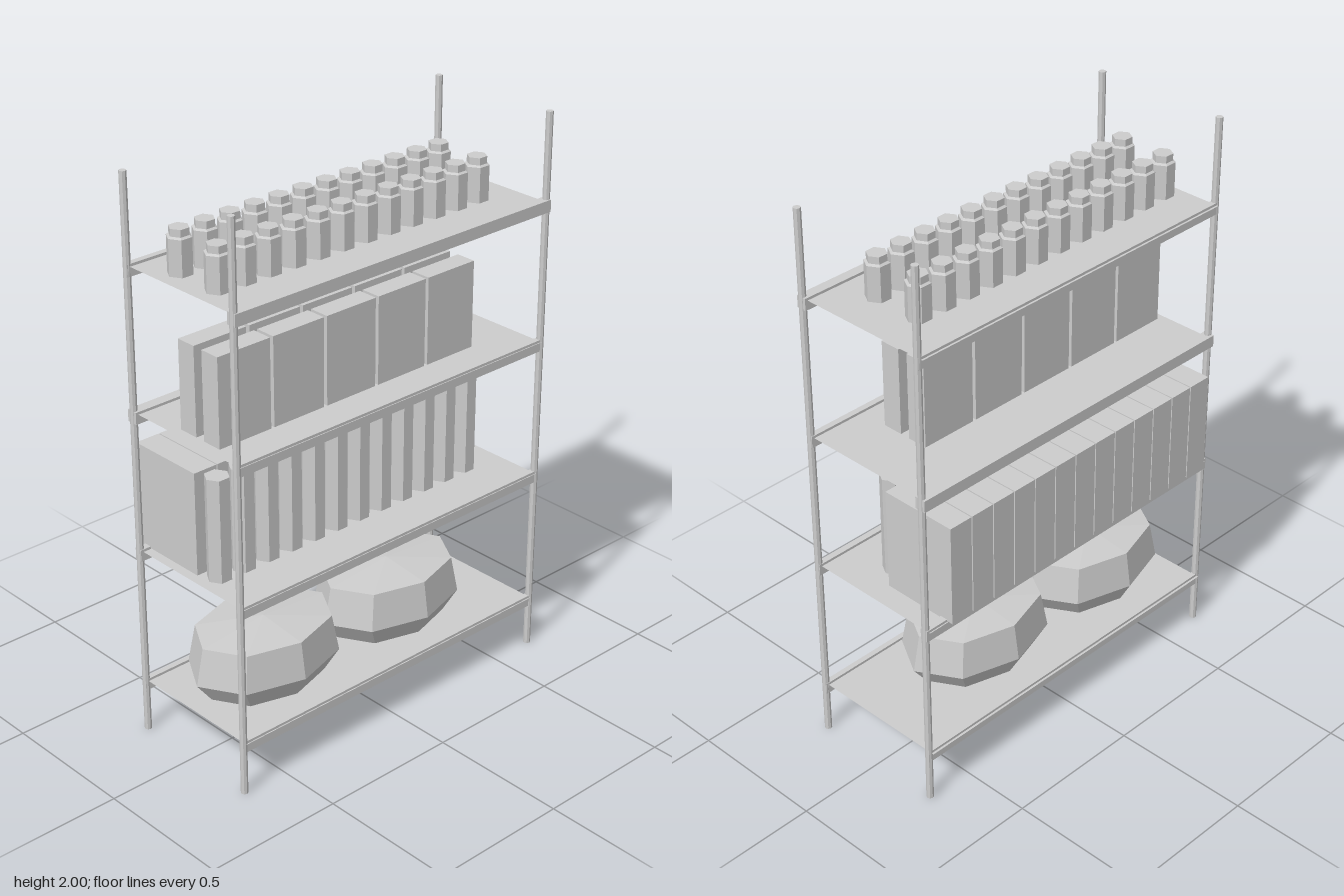
import * as THREE from 'three';

export function createModel() {
  const model = new THREE.Group();
  const grey = new THREE.MeshStandardMaterial({ color: 0xcccccc, flatShading: true, side: THREE.DoubleSide });
  grey.name = 'light grey';

  function add(name, geometry, x, y, z) {
    const mesh = new THREE.Mesh(geometry, grey);
    mesh.name = name;
    mesh.position.set(x, y, z);
    model.add(mesh);
    return mesh;
  }
  // Prism whose corners point along x, standing on its base
  function prism(rTop, rBottom, height, sides = 6) {
    return new THREE.CylinderGeometry(rTop, rBottom, height, sides, 1, false, Math.PI / 2)
      .translate(0, height / 2, 0);
  }
  function block(w, h, d) {
    return new THREE.BoxGeometry(w, h, d).translate(0, h / 2, 0);
  }

  // Corner posts
  const frontZ = 0.26, backZ = -0.24;
  const post = prism(0.0125, 0.0125, 2, 8);
  for (const x of [-0.668, 0.668])
    for (const z of [frontZ, backZ]) add('post', post, x, 0, z);

  // Shelves: thin sheet with a rail along the front and back
  const shelves = [
    { y: 0.19, front: 0.02, back: 0.02 },
    { y: 0.69, front: 0.022, back: 0.028 },
    { y: 1.19, front: 0.022, back: 0.04 },
    { y: 1.69, front: 0.036, back: 0.022 },
  ];
  const sheet = new THREE.PlaneGeometry(1.33, 0.53).rotateX(-Math.PI / 2);
  for (const { y, front, back } of shelves) {
    add('shelfSheet', sheet, 0, y, 0.007);
    add('frontRail', block(1.35, 0.042, front), 0, y - 0.033, frontZ - 0.002);
    add('backRail', block(1.35, 0.042, back), 0, y - 0.033, backZ);
  }

  // Top shelf: two rows of capped jars
  const jarBody = prism(0.0425, 0.0425, 0.122);
  const jarShoulder = prism(0.03, 0.0425, 0.008);
  const jarCap = prism(0.034, 0.034, 0.025);
  for (const z of [0.098, -0.078])
    for (let i = 0; i < 12; i++) {
      const x = -0.59 + 0.0997 * i;
      add('jarBody', jarBody, x, 1.695, z);
      add('jarShoulder', jarShoulder, x, 1.817, z);
      add('jarCap', jarCap, x, 1.822, z);
    }

  // Third shelf: two rows of upright boxes
  const packet = block(0.209, 0.31, 0.074);
  for (const z of [0.103, -0.008])
    for (let i = 0; i < 5; i++) add('packet', packet, -0.53 + 0.222 * i, 1.193, z);

  // Second shelf: tall canisters in front of a row of binders
  const canister = prism(0.0425, 0.0425, 0.367);
  for (let i = 0; i < 12; i++) add('canister', canister, -0.59 + 0.0997 * i, 0.693, 0.068);
  const binder = block(0.09, 0.367, 0.29);
  for (let i = 0; i < 13; i++) add('binder', binder, -0.59 + 0.0943 * i, 0.693, -0.133);

  // Bottom shelf: two faceted sacks, oval from above
  const sackProfile = [[0, 0.195], [0.23, 0.203], [0.29, 0.28], [0.262, 0.412], [0, 0.433]]
    .map(([r, y]) => new THREE.Vector2(r, y));
  const sack = new THREE.LatheGeometry(sackProfile, 8).scale(1, 1, 0.715);
  for (const x of [-0.363, 0.2]) add('sack', sack, x, 0, 0.013);

  return model;
}
